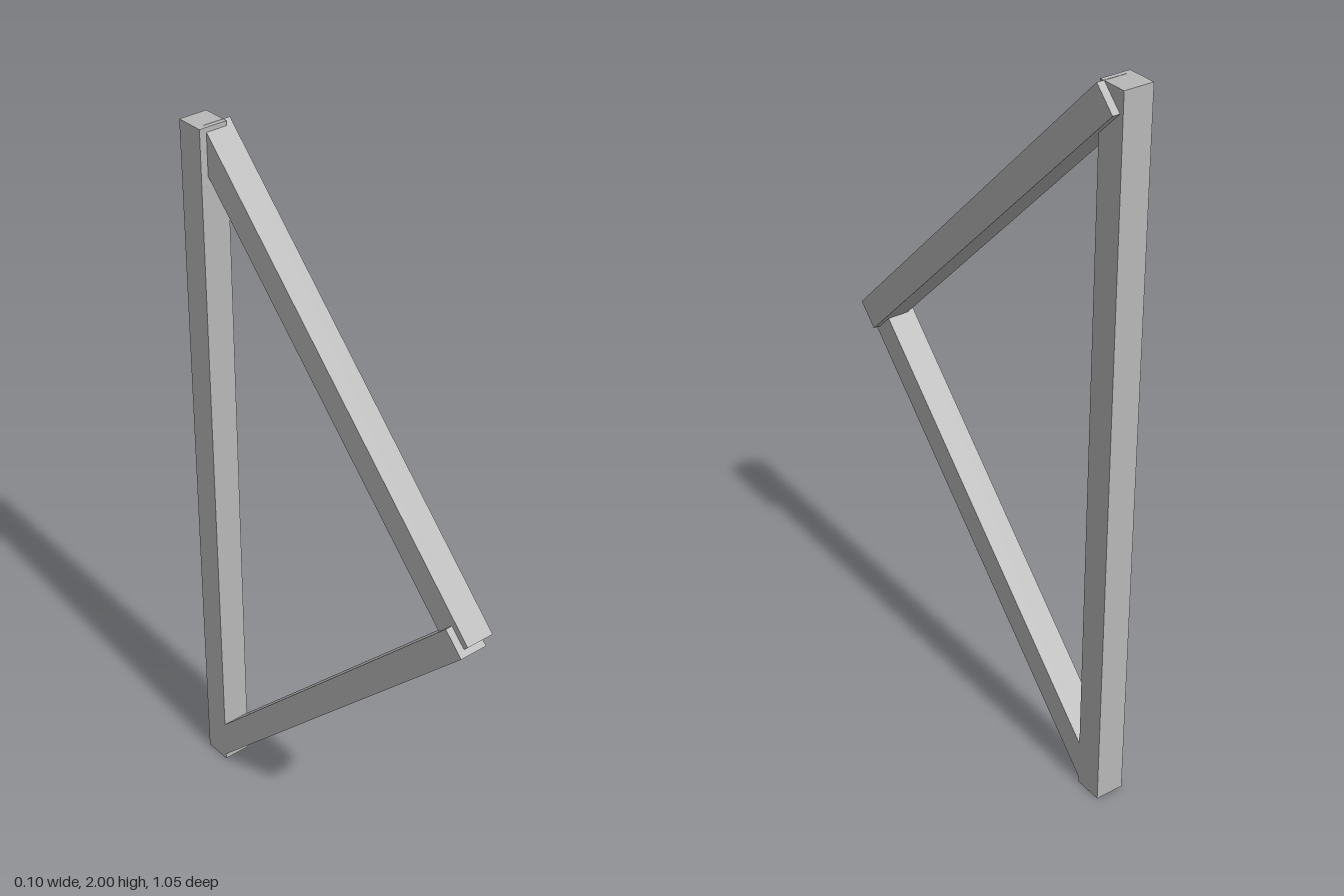
import * as THREE from 'three';

const THICK = 0.081;

export function createModel() {
  const group = new THREE.Group();
  const grey = new THREE.MeshStandardMaterial({ color: 0xb8b8b8 });
  grey.name = 'plain grey';

  // One square bar, tilted in the side plane
  function bar(name, length, x, y, z, tilt) {
    const mesh = new THREE.Mesh(new THREE.BoxGeometry(THICK, length, THICK), grey);
    mesh.name = name;
    mesh.position.set(x, y, z);
    mesh.rotation.x = tilt;
    group.add(mesh);
  }

  // Upright post at the back
  bar('uprightPost', 2, -0.01, 1, -0.4865, 0);
  // Lower brace, flush with the post
  bar('lowerBrace', 1.394, -0.01, 0.525, 0.005, Math.PI / 4);
  // Upper brace, shifted sideways to lap over the other two
  bar('upperBrace', 1.394, 0.01, 1.479, 0.005, -Math.PI / 4);

  return group;
}
